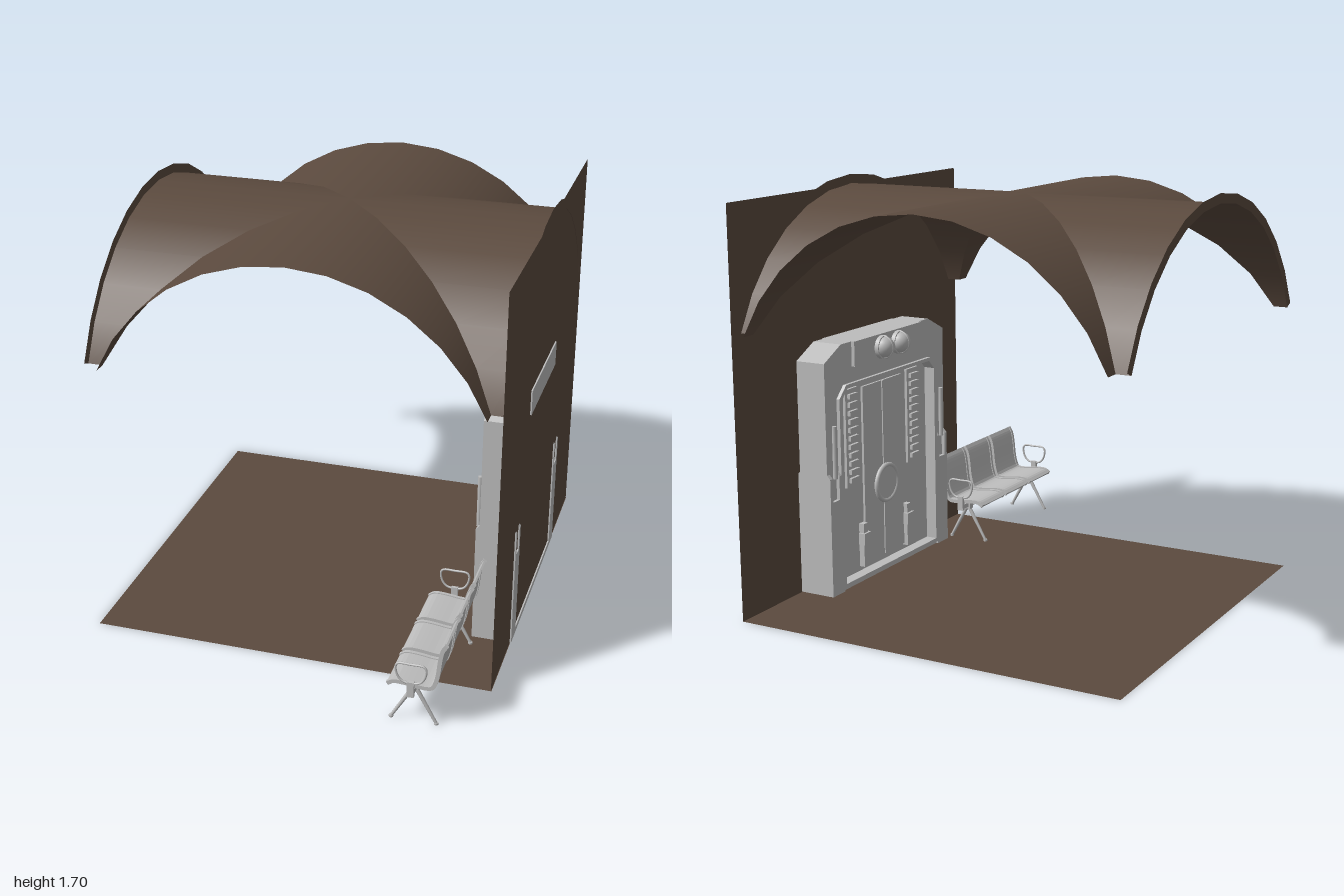
import * as THREE from 'three';

const brown = new THREE.MeshStandardMaterial({ color: 0x5b4a3e, side: THREE.DoubleSide });
brown.name = 'brown';
const grey = new THREE.MeshStandardMaterial({ color: 0xbdbdbd });
grey.name = 'light grey';

function add(parent, name, geometry, material = grey) {
  const m = new THREE.Mesh(geometry, material);
  m.name = name;
  parent.add(m);
  return m;
}

// Box given by its limits on each axis
function box(parent, name, x0, x1, y0, y1, z0, z1) {
  const m = add(parent, name, new THREE.BoxGeometry(x1 - x0, y1 - y0, z1 - z0));
  m.position.set((x0 + x1) / 2, (y0 + y1) / 2, (z0 + z1) / 2);
  return m;
}

const polygon = (pts) => new THREE.Shape(pts.map(([a, b]) => new THREE.Vector2(a, b)));

// Outline in (z, y) extruded from x0 to x1
function slab(parent, name, shape, x0, x1) {
  const g = new THREE.ExtrudeGeometry(shape, { depth: x1 - x0, bevelEnabled: false });
  g.rotateY(-Math.PI / 2).translate(x1, 0, 0);
  return add(parent, name, g);
}

function rod(parent, name, a, b, r0, r1 = r0, sides = 10) {
  const va = new THREE.Vector3(...a), vb = new THREE.Vector3(...b);
  const d = vb.clone().sub(va);
  const m = add(parent, name, new THREE.CylinderGeometry(r1, r0, d.length(), sides));
  m.position.copy(va).add(vb).multiplyScalar(0.5);
  m.quaternion.setFromUnitVectors(new THREE.Vector3(0, 1, 0), d.normalize());
  return m;
}

// Groin vault: four curved webs and an upright rim on two sides
const SEG = 12, R = 0.836, HALF = 0.83, CY = 0.829, SWEEP = Math.asin(0.77 / R);

function webGeometry() {
  const pos = [], nor = [], idx = [];
  for (let i = 0; i <= SEG; i++) {
    const a = SWEEP * (2 * i / SEG - 1), z = R * Math.sin(a), y = CY + R * Math.cos(a);
    for (const x of [Math.abs(z), HALF]) {
      pos.push(x, y, z);
      nor.push(0, Math.cos(a), Math.sin(a));
    }
    if (i < SEG) {
      const k = 2 * i;
      idx.push(k, k + 2, k + 1, k + 1, k + 2, k + 3);
    }
  }
  const g = new THREE.BufferGeometry();
  g.setAttribute('position', new THREE.Float32BufferAttribute(pos, 3));
  g.setAttribute('normal', new THREE.Float32BufferAttribute(nor, 3));
  g.setIndex(idx);
  return g;
}

function buildVault() {
  const vault = new THREE.Group();
  vault.name = 'vaultedCeiling';
  for (let i = 0; i < 4; i++) add(vault, 'vaultWeb', webGeometry(), brown).rotation.y = i * Math.PI / 2;
  for (const x of [-HALF, HALF]) {
    const rim = new THREE.RingGeometry(R, R + 0.039, SEG, 1, Math.PI / 2 - SWEEP, 2 * SWEEP);
    const m = add(vault, 'vaultRim', rim, brown);
    m.rotation.y = Math.PI / 2;
    m.position.set(x, CY, 0);
  }
  vault.position.set(-0.004, 0, -0.17);
  return vault;
}

function buildDoor() {
  const door = new THREE.Group();
  door.name = 'door';
  const mid = -0.15;
  const outline = (w, y0, y1, cz, cy) => [
    [-w, y0], [w, y0], [w, y1 - cy], [w - cz, y1], [-w + cz, y1], [-w, y1 - cy]];
  const ring = (outer, inner) => {
    const s = polygon(outer);
    s.holes.push(polygon(inner));
    return s;
  };
  const opening = outline(0.355, 0.03, 0.86, 0.04, 0.04);
  slab(door, 'doorFrame', ring(outline(0.455, 0.002, 1.045, 0.12, 0.06), opening), 0.68, 0.815);
  slab(door, 'doorTrim', ring(outline(0.375, 0.012, 0.875, 0.05, 0.05), opening), 0.665, 0.682);
  slab(door, 'doorPanel', polygon(outline(0.36, 0.025, 0.87, 0.04, 0.04)), 0.715, 0.76);
  box(door, 'sill', 0.675, 0.83, 0.002, 0.025, -0.37, 0.37);
  box(door, 'header', 0.665, 0.83, 0.94, 1.045, -0.26, 0.26);

  // Centre leaf with seams and round hatch
  box(door, 'centreLeaf', 0.705, 0.72, 0.06, 0.83, -0.15, 0.15);
  box(door, 'centreSeam', 0.7, 0.71, 0.06, 0.83, -0.008, 0.008);
  const hatch = add(door, 'roundHatch', new THREE.CylinderGeometry(0.075, 0.075, 0.02, 28));
  hatch.rotation.z = Math.PI / 2;
  hatch.position.set(0.697, 0.38, 0);
  const hatchRing = add(door, 'hatchRing', new THREE.TorusGeometry(0.078, 0.01, 8, 28));
  hatchRing.rotation.y = Math.PI / 2;
  hatchRing.position.set(0.692, 0.38, 0);

  for (const s of [-1, 1]) {
    const span = (name, x0, x1, y0, y1, a, b) =>
      box(door, name, x0, x1, y0, y1, Math.min(s * a, s * b), Math.max(s * a, s * b));
    // Side posts with forked tops, chamfered into the frame
    span('sidePost', 0.665, 0.83, 0.002, 0.405, 0.37, 0.455);
    for (const [a, b] of [[0.37, 0.39], [0.437, 0.455]]) {
      span('postProng', 0.665, 0.83, 0.405, 0.505, a, b);
      const wedge = new THREE.ExtrudeGeometry(
        polygon([[0.665, 0.505], [0.83, 0.505], [0.815, 0.522], [0.68, 0.522]]),
        { depth: b - a, bevelEnabled: false });
      add(door, 'prongTip', wedge).position.z = s > 0 ? a : -b;
    }
    // Stud columns
    span('studRail', 0.703, 0.72, 0.42, 0.84, 0.19, 0.28);
    for (let i = 0; i < 11; i++) {
      span('stud', 0.69, 0.705, 0.44 + i * 0.036, 0.46 + i * 0.036, 0.205, 0.265);
    }
    // Lower clamps and side handles
    span('lowerClamp', 0.69, 0.72, 0.05, 0.24, 0.155, 0.185);
    span('clampHead', 0.68, 0.71, 0.15, 0.2, 0.145, 0.195);
    rod(door, 'sideHandle', [0.668, 0.5, s * 0.413], [0.668, 0.72, s * 0.413], 0.01);
    // Twin lamps with guard hoops
    const lamp = add(door, 'lamp', new THREE.SphereGeometry(0.045, 20, 8, 0, Math.PI * 2, 0, Math.PI / 2));
    lamp.rotation.z = Math.PI / 2;
    lamp.position.set(0.65, 0.99, s * 0.062);
    const base = add(door, 'lampBase', new THREE.CylinderGeometry(0.05, 0.05, 0.02, 20));
    base.rotation.z = Math.PI / 2;
    base.position.set(0.657, 0.99, s * 0.062);
    const hoop = add(door, 'lampGuard', new THREE.TorusGeometry(0.047, 0.005, 6, 16, Math.PI));
    hoop.rotation.z = Math.PI / 2;
    hoop.position.set(0.655, 0.99, s * 0.062);
  }
  door.position.z = mid;
  return door;
}

function buildBench() {
  const bench = new THREE.Group();
  bench.name = 'bench';
  const curve = new THREE.CatmullRomCurve3([
    [0.488, 0.174], [0.51, 0.188], [0.56, 0.188], [0.63, 0.18], [0.662, 0.186],
    [0.68, 0.235], [0.689, 0.31], [0.698, 0.355], [0.712, 0.378]].map(([x, y]) => new THREE.Vector3(x, y, 0)));
  // Seat section: the curve offset to both sides
  const section = (t) => {
    const upper = [], lower = [];
    for (let i = 0; i <= 24; i++) {
      const p = curve.getPoint(i / 24), d = curve.getTangent(i / 24);
      upper.push([p.x - d.y * t, p.y + d.x * t]);
      lower.unshift([p.x + d.y * t, p.y - d.x * t]);
    }
    return polygon([...lower, ...upper].reverse());
  };
  const strip = (name, t, z, width) => add(bench, name,
    new THREE.ExtrudeGeometry(section(t), { depth: width, bevelEnabled: false })).position.z = z;
  for (let i = 0; i < 3; i++) {
    const z = -0.3275 + i * 0.225;
    strip('seat', 0.004, z, 0.205);
    strip('seatEdge', 0.008, z, 0.014);
    strip('seatEdge', 0.008, z + 0.191, 0.014);
    box(bench, 'seatBracket', 0.57, 0.6, 0.155, 0.182, z + 0.05, z + 0.155);
  }
  box(bench, 'beam', 0.574, 0.597, 0.155, 0.175, -0.357, 0.357);

  // Armrest loop, hub and splayed legs at each end
  const loop = new THREE.CatmullRomCurve3([
    [0.535, 0.289], [0.585, 0.291], [0.635, 0.289], [0.644, 0.275], [0.636, 0.235],
    [0.615, 0.213], [0.555, 0.213], [0.534, 0.235], [0.526, 0.275]].map(([x, y]) => new THREE.Vector3(x, y, 0)), true);
  for (const s of [-1, 1]) {
    add(bench, 'armrest', new THREE.TubeGeometry(loop, 36, 0.0045, 8, true)).position.z = s * 0.35;
    box(bench, 'armrestPost', 0.572, 0.599, 0.15, 0.215, s * 0.35 - 0.007, s * 0.35 + 0.007);
    box(bench, 'legHub', 0.567, 0.603, 0.145, 0.175, s * 0.287 - 0.014, s * 0.287 + 0.014);
    for (const x of [0.495, 0.672]) {
      rod(bench, 'leg', [x, 0.004, s * 0.287], [0.585, 0.16, s * 0.287], 0.006, 0.009);
      rod(bench, 'foot', [x, 0, s * 0.287], [x, 0.008, s * 0.287], 0.009);
    }
  }
  bench.position.z = 0.6425;
  return bench;
}

export function createModel() {
  const model = new THREE.Group();
  model.name = 'room';
  // Floor and side wall
  const floor = add(model, 'floor', new THREE.PlaneGeometry(1.66, 1.66), brown);
  floor.rotation.x = -Math.PI / 2;
  floor.position.set(-0.004, 0, -0.17);
  const wall = add(model, 'wall', new THREE.PlaneGeometry(1.66, 1.663), brown);
  wall.rotation.y = Math.PI / 2;
  wall.position.set(0.824, 0.8315, -0.17);
  model.add(buildVault(), buildDoor(), buildBench());
  return model;
}
